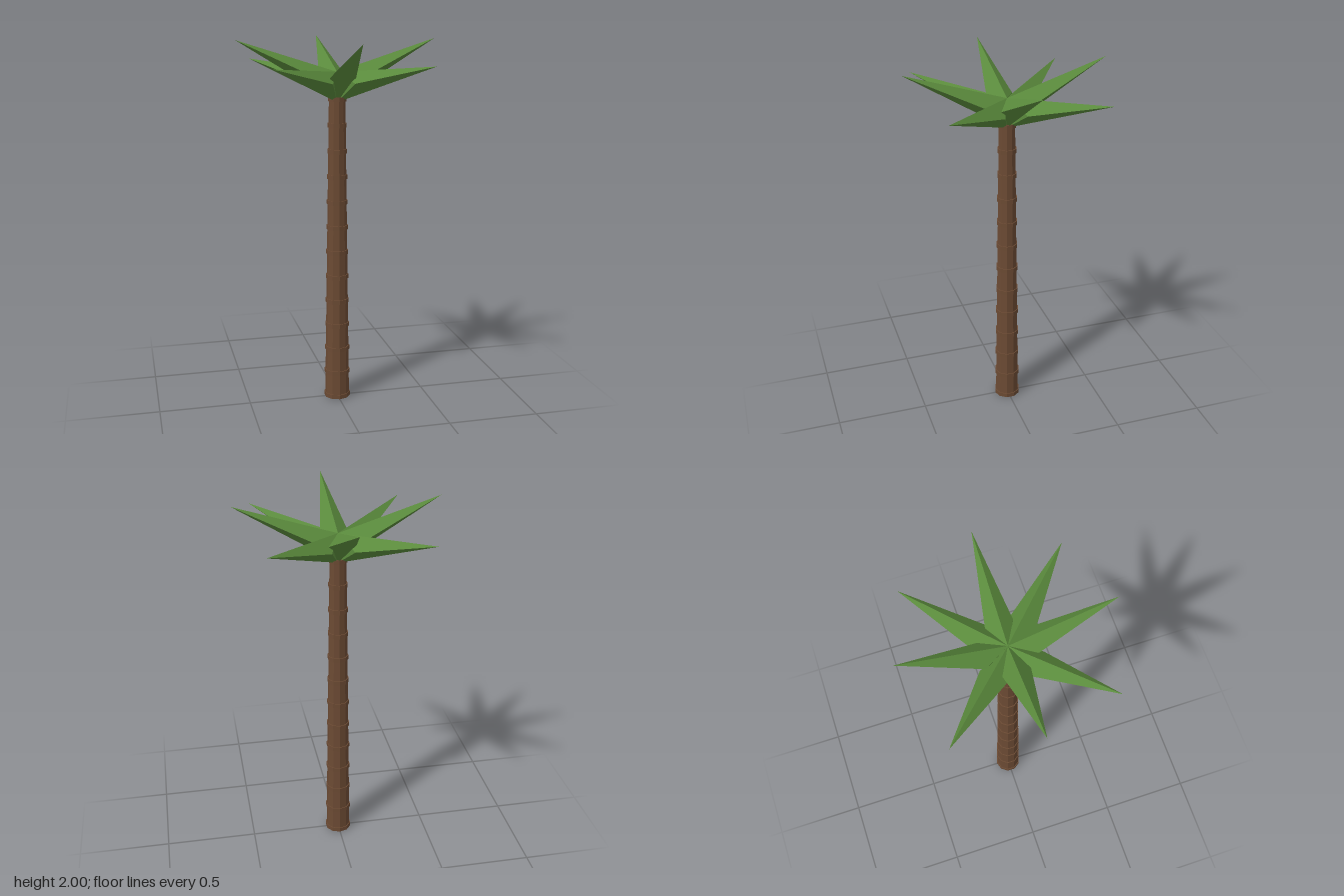
import * as THREE from 'three';

const SIDES = 10, TRUNK_TOP = 1.69;
const trunkRadius = y => THREE.MathUtils.lerp(0.068, 0.044, y / TRUNK_TOP);

// Faceted leaf along +z: raised ridge on top, keel below, widest near the crown
function leafGeometry({ tipR, tipY, sideR, sideY, halfWidth }) {
  const ridge = [0, 1.83, 0], keel = [0, 1.67, 0], tip = [0, tipY, tipR];
  const left = [halfWidth, sideY, sideR], right = [-halfWidth, sideY, sideR];
  const faces = [
    ridge, tip, left, ridge, right, tip,     // top
    keel, left, tip, keel, tip, right,       // underside
    ridge, left, keel, ridge, keel, right,   // inner end
  ];
  const g = new THREE.BufferGeometry();
  g.setAttribute('position', new THREE.Float32BufferAttribute(faces.flat(), 3));
  g.computeVertexNormals();
  return g;
}

export function createModel() {
  const bark = new THREE.MeshStandardMaterial({ name: 'barkBrown', color: 0x6b4a33, flatShading: true });
  const green = new THREE.MeshStandardMaterial({ name: 'leafGreen', color: 0x5a8a3c, flatShading: true, side: THREE.DoubleSide });
  const model = new THREE.Group();
  model.name = 'palmTree';

  const add = (name, geometry, material, y = 0) => {
    const mesh = new THREE.Mesh(geometry, material);
    mesh.name = name;
    mesh.position.y = y;
    model.add(mesh);
    return mesh;
  };

  // Tapered trunk
  add('trunk', new THREE.CylinderGeometry(trunkRadius(TRUNK_TOP), trunkRadius(0), TRUNK_TOP, SIDES), bark, TRUNK_TOP / 2);

  // Evenly spaced bark rings
  for (let i = 0; i < 13; i++) {
    const y = 0.014 + i * 0.1395;
    const r = trunkRadius(y) + 0.005;
    add('barkRing', new THREE.CylinderGeometry(r, r, 0.024, SIDES), bark, y);
  }

  // Crown: four raised leaves alternating with four lower ones
  const upper = leafGeometry({ tipR: 0.535, tipY: 2, sideR: 0.13, sideY: 1.808, halfWidth: 0.07 });
  const lower = leafGeometry({ tipR: 0.58, tipY: 1.88, sideR: 0.153, sideY: 1.78, halfWidth: 0.07 });
  for (let i = 0; i < 8; i++) {
    const raised = i % 2 === 0;
    add(raised ? 'upperLeaf' : 'lowerLeaf', raised ? upper : lower, green).rotation.y = i * Math.PI / 4;
  }
  return model;
}
